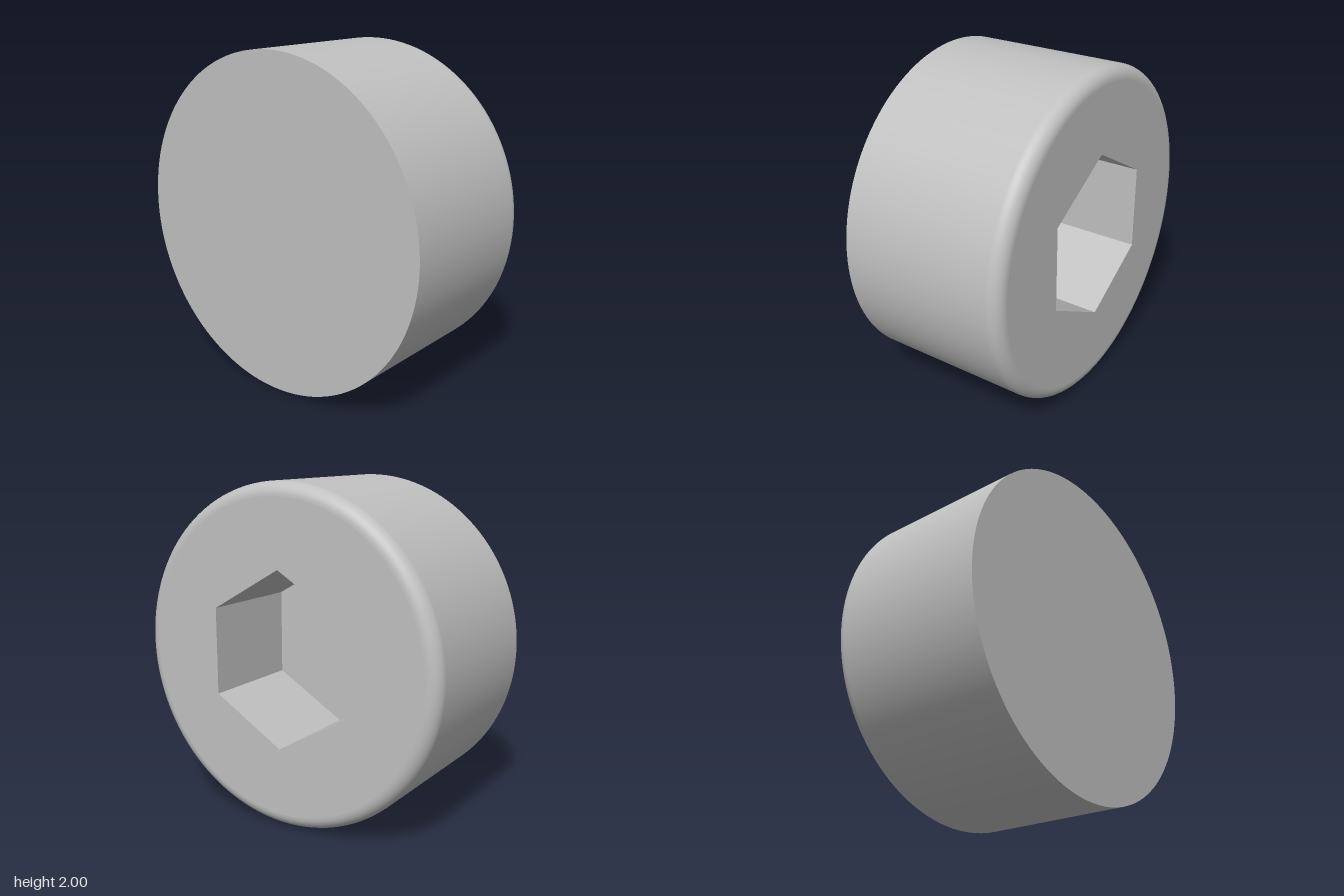
import * as THREE from 'three';

const RADIUS = 1, HALF = 0.51, FILLET = 0.08;
const HEX = 0.52, DEPTH = 0.635;

export function createModel() {
  const grey = new THREE.MeshStandardMaterial({ color: 0xc0c0c0 });
  grey.name = 'plainGrey';

  // Built along z, then turned so the socket faces +x
  const head = new THREE.Group();
  head.name = 'screwHead';
  const add = (name, geometry, parent = head) => {
    const mesh = new THREE.Mesh(geometry, grey);
    mesh.name = name;
    parent.add(mesh);
    return mesh;
  };

  // Round side wall with a rounded rim at the socket end
  const profile = [new THREE.Vector2(RADIUS, -HALF)];
  for (let i = 0; i <= 10; i++) {
    const a = (i / 10) * Math.PI / 2;
    profile.push(new THREE.Vector2(
      RADIUS - FILLET + FILLET * Math.cos(a),
      HALF - FILLET + FILLET * Math.sin(a)));
  }
  add('sideWall', new THREE.LatheGeometry(profile, 128).rotateX(Math.PI / 2));

  // Flat closed end
  add('backFace', new THREE.CircleGeometry(RADIUS, 128).rotateY(Math.PI).translate(0, 0, -HALF));

  // Flat end with the hexagonal opening
  const corners = [];
  for (let i = 0; i < 6; i++) {
    const a = Math.PI / 2 + i * Math.PI / 3;
    corners.push(new THREE.Vector2(HEX * Math.cos(a), HEX * Math.sin(a)));
  }
  const face = new THREE.Shape().absarc(0, 0, RADIUS - FILLET, 0, Math.PI * 2);
  face.holes.push(new THREE.Path(corners));
  add('socketFace', new THREE.ShapeGeometry(face, 64).translate(0, 0, HALF));

  // Socket: six inward walls and a floor
  const socket = new THREE.Group();
  socket.name = 'hexSocket';
  head.add(socket);
  for (let i = 0; i < 6; i++) {
    add('socketWall', new THREE.PlaneGeometry(HEX, DEPTH)
      .rotateX(Math.PI / 2)
      .translate(0, HEX * Math.cos(Math.PI / 6), HALF - DEPTH / 2)
      .rotateZ(Math.PI / 6 + i * Math.PI / 3), socket);
  }
  add('socketFloor', new THREE.ShapeGeometry(new THREE.Shape(corners)).translate(0, 0, HALF - DEPTH), socket);

  head.rotation.y = Math.PI / 2;
  head.position.y = RADIUS;

  const model = new THREE.Group();
  model.name = 'socketScrewHead';
  model.add(head);
  return model;
}
